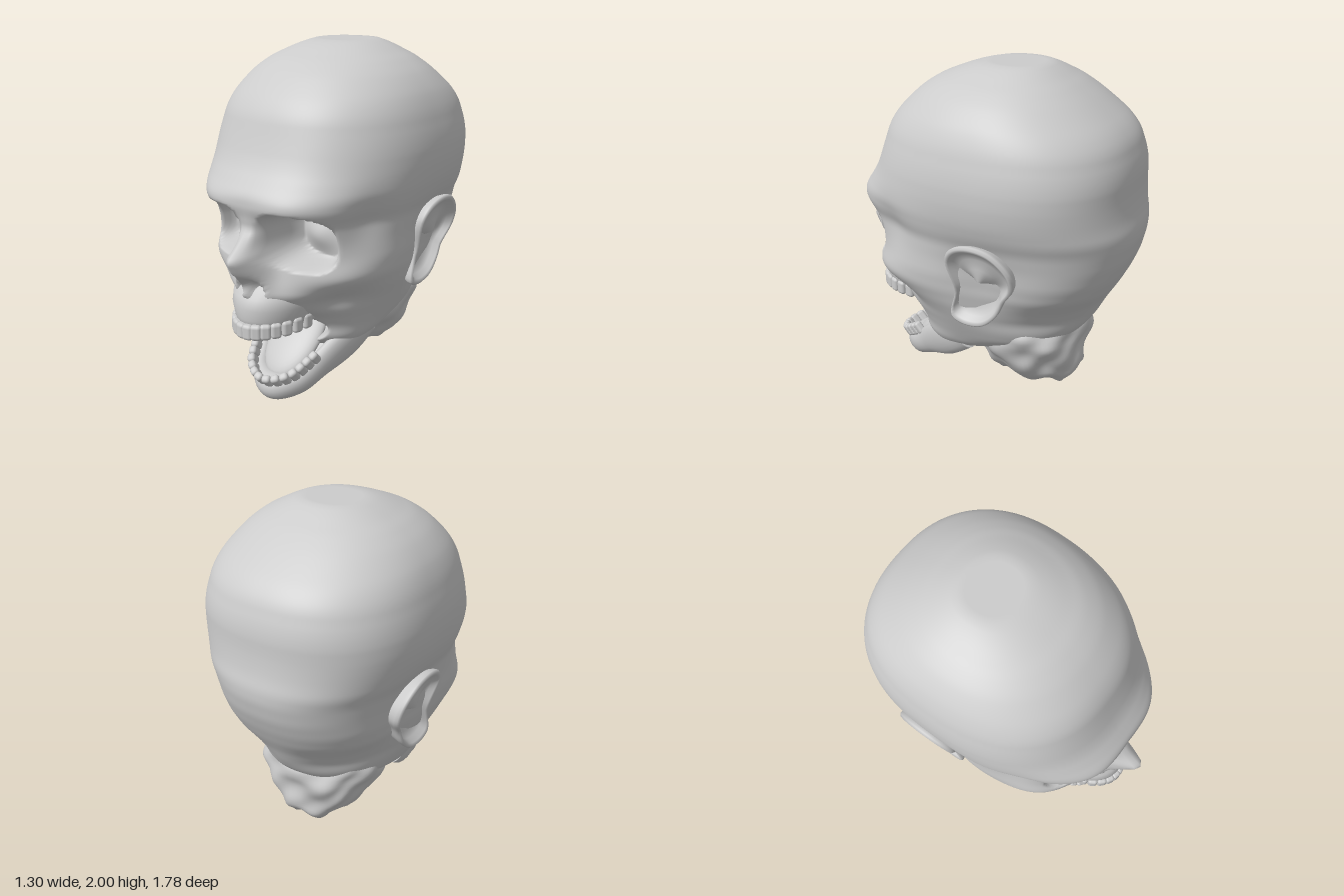
import * as THREE from 'three';
import { RoundedBoxGeometry } from 'three/addons/geometries/RoundedBoxGeometry.js';

const material = new THREE.MeshStandardMaterial({ color: 0xcccccc, side: THREE.DoubleSide });
const { smoothstep, lerp, clamp } = THREE.MathUtils;
const gauss = (d) => Math.exp(-d * d);

// Section tables: [y, zFront, zBack, halfWidth, zWidest, roundness]
const HEAD = [
  [0.26, 0.3, 0.02, 0.2, 0.16, 2], [0.3, 0.36, -0.06, 0.31, 0.15, 2.2],
  [0.36, 0.42, -0.3, 0.36, 0.1, 2.3], [0.44, 0.43, -0.54, 0.4, 0.02, 2.3],
  [0.52, 0.5, -0.61, 0.44, 0, 2.1], [0.6, 0.66, -0.66, 0.48, 0, 1.8],
  [0.7, 0.73, -0.71, 0.53, 0, 1.95], [0.8, 0.69, -0.77, 0.565, 0, 2.3],
  [0.9, 0.67, -0.82, 0.58, 0, 2.4], [1.0, 0.69, -0.86, 0.58, -0.02, 2.4],
  [1.11, 0.74, -0.885, 0.59, -0.08, 2.35], [1.18, 0.77, -0.885, 0.615, -0.1, 2.4],
  [1.26, 0.77, -0.865, 0.635, -0.12, 2.4], [1.33, 0.72, -0.855, 0.645, -0.14, 2.4],
  [1.4, 0.67, -0.85, 0.65, -0.15, 2.4], [1.5, 0.63, -0.85, 0.645, -0.15, 2.4],
  [1.68, 0.57, -0.79, 0.6, -0.14, 2.35], [1.8, 0.465, -0.65, 0.53, -0.12, 2.2],
  [1.9, 0.34, -0.51, 0.42, -0.12, 2.2], [1.97, 0.18, -0.39, 0.29, -0.13, 2.2],
  [2.0, 0.02, -0.3, 0.17, -0.14, 2.2],
];
const NECK = [
  [0.12, -0.05, -0.5, 0.16, -0.28, 2.2], [0.18, -0.01, -0.565, 0.23, -0.28, 2.4],
  [0.3, 0.05, -0.57, 0.31, -0.27, 2.4], [0.42, 0.06, -0.59, 0.36, -0.26, 2.4],
  [0.5, 0, -0.58, 0.37, -0.26, 2.2], [0.6, 0, -0.53, 0.33, -0.26, 2],
];
// Nose ridge: [y, height, halfWidth]
const NOSE = [
  [0.62, 0, 0.12], [0.68, 0.05, 0.12], [0.75, 0.085, 0.115], [0.82, 0.15, 0.105],
  [0.88, 0.205, 0.095], [0.93, 0.235, 0.08], [0.99, 0.145, 0.07],
  [1.08, 0.025, 0.065], [1.16, 0, 0.06],
];
// Soft swellings and hollows: [|x|, y, z, rx, ry, rz, amount]
const BUMPS = [
  [0.42, 0.82, 0.45, 0.16, 0.08, 0.22, 0.03],   // cheekbone
  [0.38, 0.65, 0.47, 0.14, 0.08, 0.18, -0.045], // cheek hollow
  [0.52, 1.12, 0.4, 0.12, 0.15, 0.15, -0.03],   // temple
  [0.25, 1.21, 0.68, 0.17, 0.05, 0.2, 0.02],    // brow ridge
  [0.56, 0.87, -0.22, 0.2, 0.22, 0.22, -0.05],  // hollow behind the ear
];

function sample(table, y) {
  let i = 0;
  while (i < table.length - 2 && y > table[i + 1][0]) i++;
  const a = table[i], b = table[i + 1];
  const t = clamp((y - a[0]) / (b[0] - a[0]), 0, 1);
  return a.map((v, k) => lerp(v, b[k], t));
}

// Averages neighbouring heights so the table corners do not show
function sampleSoft(table, y, reach) {
  const picks = [-1, -0.75, -0.5, -0.25, 0, 0.25, 0.5, 0.75, 1].map((d) => sample(table, y + d * reach));
  return picks[0].map((_, k) => picks.reduce((s, p) => s + p[k], 0) / picks.length);
}

function sectionPoint([, zf, zb, w, zm, n], a, y) {
  const s = Math.sin(a), c = Math.cos(a), p = 2 / n;
  const x = w * Math.sign(s) * Math.abs(s) ** p;
  const z = zm + (c > 0 ? zf - zm : zm - zb) * Math.sign(c) * Math.abs(c) ** p;
  return new THREE.Vector3(x, y, z);
}

// Skin through closed rings, ends closed by a fan
function loft(rings) {
  const n = rings[0].length, pos = [], idx = [];
  rings.forEach((r) => r.forEach((p) => pos.push(p.x, p.y, p.z)));
  for (let i = 0; i < rings.length - 1; i++) {
    for (let j = 0; j < n; j++) {
      const k = (j + 1) % n, a = i * n + j, b = i * n + k;
      idx.push(a, b, b + n, a, b + n, a + n);
    }
  }
  [0, rings.length - 1].forEach((r, end) => {
    const c = rings[r].reduce((s, p) => s.add(p), new THREE.Vector3()).divideScalar(n);
    const ci = pos.length / 3;
    pos.push(c.x, c.y, c.z);
    for (let j = 0; j < n; j++) {
      const a = r * n + j, b = r * n + ((j + 1) % n);
      idx.push(ci, end ? a : b, end ? b : a);
    }
  });
  const g = new THREE.BufferGeometry();
  g.setAttribute('position', new THREE.Float32BufferAttribute(pos, 3));
  g.setIndex(idx);
  g.computeVertexNormals();
  return g;
}

// Carves the face into a plain head section point
function sculpt(p) {
  const { y } = p, ax = Math.abs(p.x);
  for (const [bx, by, bz, rx, ry, rz, amount] of BUMPS) {
    const f = amount * gauss((ax - bx) / rx) * gauss((y - by) / ry) * gauss((p.z - bz) / rz);
    const l = Math.hypot(p.x, p.z) || 1;
    p.x += (f * p.x) / l;
    p.z += (f * p.z) / l;
  }
  if (p.z < 0.2) return p;
  const [, height, width] = sampleSoft(NOSE, y, 0.02);
  // eye sockets, squarish with an overhanging brow
  const u = (ax - 0.25) / 0.17, v = (y - 1.02 + 0.02 * u) / 0.155;
  const d = (Math.abs(u) ** 3 + Math.abs(v) ** 3) ** (1 / 3);
  const floor = 0.42 + 0.05 * gauss(Math.hypot(u, v) / 0.6);
  p.z = lerp(p.z, Math.min(p.z, floor), 1 - smoothstep(d, 0.76, 1.07));
  p.z += height * Math.exp(-(Math.abs(p.x / width) ** 2.6));
  // nostrils either side of the septum
  const e = Math.hypot((ax - 0.05 + (y - 0.75) * 0.25) / 0.05, (y - 0.745) / 0.095);
  p.z -= 0.09 * (1 - smoothstep(e, 0.2, 1.05));
  // mouth cavity
  p.z -= 0.22 * (1 - smoothstep(Math.hypot(p.x / 0.25, (y - 0.42) / 0.12), 0.6, 1));
  return p;
}

function headGeometry() {
  const rings = [], rows = 150, cols = 200;
  for (let i = 0; i <= rows; i++) {
    const y = lerp(0.26, 2, i / rows);
    const s = sampleSoft(HEAD, y, lerp(0.025, 0.06, smoothstep(y, 1.25, 1.5)) * smoothstep(2.03 - y, 0, 0.1));
    rings.push(Array.from({ length: cols }, (_, j) => sculpt(sectionPoint(s, (j / cols) * Math.PI * 2, y))));
  }
  // flat crown
  const rim = rings[rows];
  for (const k of [0.8, 0.5, 0.2]) {
    rings.push(rim.map((p) => new THREE.Vector3(p.x * k, 2, lerp(-0.14, p.z, k))));
  }
  return loft(rings);
}

// Ragged stump under the back of the head
function neckGeometry() {
  const rings = [], rows = 26, cols = 72;
  for (let i = 0; i <= rows; i++) {
    const y = lerp(0.12, 0.6, i / rows), s = sampleSoft(NECK, y, 0.02);
    rings.push(Array.from({ length: cols }, (_, j) => {
      const a = (j / cols) * Math.PI * 2, p = sectionPoint(s, a, y);
      const k = 1 + 0.03 * Math.sin(5 * a + y * 22) + 0.02 * Math.sin(9 * a - y * 30);
      p.x *= k;
      p.z = -0.27 + (p.z + 0.27) * k;
      p.y += 0.02 * Math.sin(6 * a + 1) * (1 - i / rows);
      return p;
    }));
  }
  return loft(rings);
}

// Ear outline as (z, y), swept outward into a rim and back into a bowl
function earGeometry() {
  const outline = new THREE.CatmullRomCurve3([
    [-0.01, 1.03], [-0.06, 1.11], [-0.17, 1.15], [-0.3, 1.13], [-0.4, 1.03], [-0.41, 0.93],
    [-0.34, 0.82], [-0.29, 0.72], [-0.2, 0.64], [-0.08, 0.625], [-0.01, 0.66], [-0.04, 0.84],
  ].reverse().map(([z, y]) => new THREE.Vector3(0, y, z)), true);
  const pts = outline.getPoints(72).slice(0, 72);
  const steps = [[0.8, -0.16], [0.92, -0.06], [0.99, -0.015], [1, 0.008], [0.95, 0.02], [0.88, 0.012],
    [0.8, -0.02], [0.65, -0.04], [0.4, -0.05], [0.1, -0.05]];
  return loft(steps.map(([k, dx]) => pts.map((p) => new THREE.Vector3(
    0.54 + Math.max(0, p.y - 0.8) * 0.25 + dx, lerp(0.9, p.y, k), lerp(-0.2, p.z, k)))));
}

// Open lower jaw: an oval swept round a U, leaning along its own up direction
const jawUp = new THREE.Vector3(0, 0.737, 0.676);
const jawPath = new THREE.CatmullRomCurve3([
  [-0.3, 0.4, 0.08], [-0.27, 0.31, 0.2], [-0.2, 0.2, 0.37], [-0.125, 0.11, 0.51], [0, 0.08, 0.57],
  [0.125, 0.11, 0.51], [0.2, 0.2, 0.37], [0.27, 0.31, 0.2], [0.3, 0.4, 0.08],
].map((p) => new THREE.Vector3(...p)));

const oval = (c, side, rs, ru, n) => Array.from({ length: n }, (_, j) => {
  const a = (j / n) * Math.PI * 2;
  return c.clone().addScaledVector(side, rs * Math.cos(a)).addScaledVector(jawUp, ru * Math.sin(a));
});

function jawGeometry() {
  const rings = [];
  for (let i = 0; i <= 72; i++) {
    const c = jawPath.getPointAt(i / 72);
    const side = jawUp.clone().cross(jawPath.getTangentAt(i / 72)).normalize();
    const high = 0.082 + 0.035 * smoothstep(Math.abs(c.x), 0.16, 0.26);
    rings.push(oval(c, side, 0.055 + 0.025 * gauss(c.x / 0.1), high, 20));
  }
  return loft(rings);
}

// Flesh spanning the two sides of the jaw
function jawFloorGeometry() {
  const rings = [], x = new THREE.Vector3(1, 0, 0);
  for (let i = 0; i <= 16; i++) {
    const c = jawPath.getPointAt((i / 16) * 0.47), half = Math.abs(c.x);
    c.x = 0;
    rings.push(oval(c.addScaledVector(jawUp, -0.015), x, half + 0.02, 0.065, 32));
  }
  return loft(rings);
}

// Upper gum and the bone above it: [y, widthScale, zFront]
function gumGeometry() {
  return loft([[0.5, 0.9, 0.75], [0.52, 1, 0.785], [0.57, 1.05, 0.79], [0.63, 1.15, 0.795],
    [0.69, 1.15, 0.78], [0.74, 1.05, 0.73], [0.78, 0.9, 0.66]].map(([y, k, zf]) =>
    Array.from({ length: 48 }, (_, j) => sectionPoint([y, zf, 0.15, 0.215 * k, 0.45, 2], (j / 48) * Math.PI * 2, y))));
}

export function createModel() {
  const model = new THREE.Group();
  const add = (name, geometry, parent = model) => {
    const mesh = new THREE.Mesh(geometry, material);
    mesh.name = name;
    parent.add(mesh);
    return mesh;
  };
  add('head', headGeometry());
  add('neckStump', neckGeometry());
  const ear = earGeometry();
  add('leftEar', ear);
  add('rightEar', ear).scale.x = -1;
  add('upperGum', gumGeometry());
  add('lowerJaw', jawGeometry());
  add('jawFloor', jawFloorGeometry());

  const tongue = add('tongue', new THREE.SphereGeometry(1, 32, 20));
  tongue.position.set(0, 0.31, 0.36);
  tongue.scale.set(0.17, 0.06, 0.27);
  tongue.rotation.x = 0.74;

  // Teeth
  const upper = new THREE.Group(), lower = new THREE.Group();
  upper.name = 'upperTeeth';
  lower.name = 'lowerTeeth';
  model.add(upper, lower);
  const tooth = new RoundedBoxGeometry(0.062, 0.09, 0.055, 2, 0.02);
  for (let i = 0; i < 14; i++) {
    const a = lerp(-1.4, 1.4, i / 13);
    const m = add('upperTooth', tooth, upper);
    m.position.set(0.205 * Math.sin(a), 0.505 + 0.02 * Math.abs(a / 1.4), 0.455 + 0.335 * Math.cos(a));
    m.rotation.y = Math.atan2(Math.sin(a) / 0.205, Math.cos(a) / 0.335);
  }
  for (let i = 0; i < 14; i++) {
    const t = lerp(0.27, 0.73, i / 13);
    const out = jawPath.getTangentAt(t).cross(jawUp).normalize();
    const m = add('lowerTooth', tooth, lower);
    m.position.copy(jawPath.getPointAt(t)).addScaledVector(jawUp, 0.105).addScaledVector(out, 0.015);
    m.setRotationFromMatrix(new THREE.Matrix4().makeBasis(jawUp.clone().cross(out), jawUp, out));
    m.scale.set(0.85, 0.9, 0.85);
  }
  return model;
}
